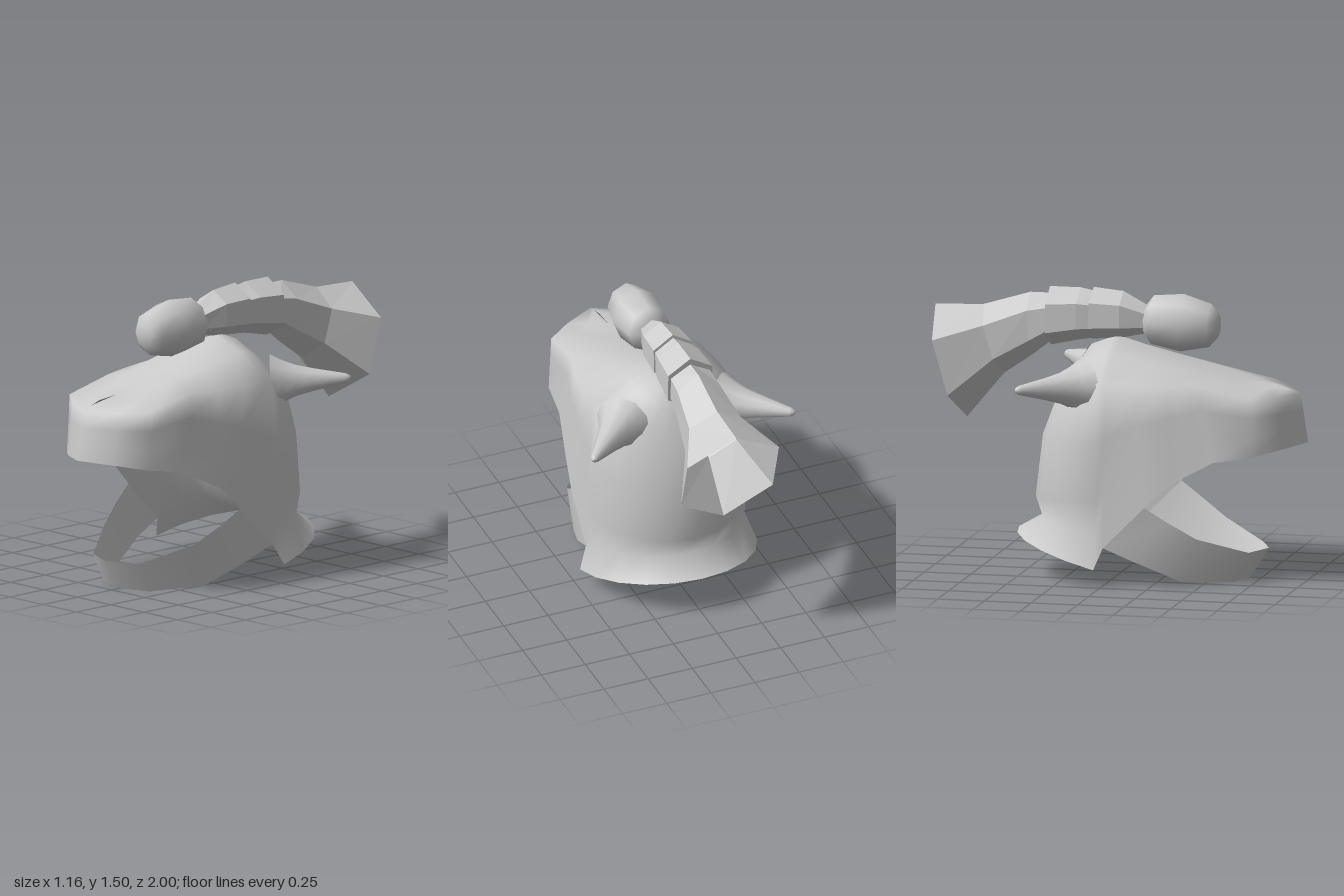
import * as THREE from 'three';
import { mergeVertices } from 'three/addons/utils/BufferGeometryUtils.js';

const { lerp } = THREE.MathUtils;
const smooth = new THREE.MeshStandardMaterial({ color: 0xcccccc, side: THREE.DoubleSide });
const flat = new THREE.MeshStandardMaterial({ color: 0xcccccc, side: THREE.DoubleSide, flatShading: true });

const mirror = (col) => col.map(([x, y, z]) => [-x, y, z]);
const mix = (a, b, t) => a.map((v, i) => lerp(v, b[i], t));

// Skin a list of equally long cross-sections
function skin(sections) {
  const n = sections[0].length;
  const index = [];
  for (let i = 0; i < sections.length - 1; i++) {
    for (let j = 0; j < n - 1; j++) {
      const a = i * n + j, b = a + n;
      index.push(a, a + 1, b, b, a + 1, b + 1);
    }
  }
  const g = new THREE.BufferGeometry();
  g.setAttribute('position', new THREE.Float32BufferAttribute(sections.flat(2), 3));
  g.setIndex(index);
  const merged = mergeVertices(g, 1e-4);
  merged.computeVertexNormals();
  return merged;
}

// Helmet shell: upright strips from crown ridge to rim, front to back
function shellGeometry() {
  // ridge, shoulder and rim point of each strip along snout and cheek
  const front = [
    [[0, 1.03, 0.84], [0, 0.99, 0.96], [0, 0.73, 1.0]],
    [[0, 1.04, 0.72], [0.17, 0.99, 0.87], [0.17, 0.715, 0.9]],
    [[0, 1.05, 0.6], [0.305, 1.0, 0.76], [0.315, 0.69, 0.77]],
    [[0, 1.11, 0.42], [0.315, 1.06, 0.47], [0.34, 0.66, 0.57]],
    [[0, 1.17, 0.23], [0.36, 1.06, 0.32], [0.4, 0.54, 0.34]],
    [[0, 1.22, 0.1], [0.38, 1.06, 0.16], [0.42, 0.42, 0.22]],
    [[0, 1.25, 0], [0.385, 1.06, 0], [0.43, 0.2, 0]],
  ];
  const cols = front.map(([ridge, shoulder, rim], i) => {
    const brow = mix(ridge, shoulder, 0.5);
    brow[1] += 0.005 * i;
    return [ridge, brow, shoulder, mix(shoulder, rim, 0.33), mix(shoulder, rim, 0.67), rim, rim];
  });
  // back rows: half width, height at the side, height at the back, back z
  const rows = [
    [0, 1.25, 1.2, -0.17],
    [0.19, 1.185, 1.12, -0.22],
    [0.385, 1.06, 0.97, -0.32],
    [0.425, 0.75, 0.74, -0.41],
    [0.432, 0.45, 0.41, -0.45],
    [0.425, 0.28, 0.3, -0.41],
    [0.48, 0.09, 0.22, -0.55], // flared neck guard
  ];
  for (const deg of [0, 18, 36, 54, 72, 90]) {
    const c = Math.cos(deg * Math.PI / 180), s = Math.sin(deg * Math.PI / 180);
    cols.push(rows.map(([w, y0, y1, zb]) => [deg === 90 ? 0 : w * c, lerp(y0, y1, s), lerp(-0.04, zb, s)]));
  }
  return skin([...cols, ...cols.slice(0, -1).reverse().map(mirror)]);
}

// Jaw band: upper and lower edge from the chin to the cheek
function jawGeometry() {
  const half = [
    [[0, 0.16, 0.79], [0, 0, 0.69]],
    [[0.17, 0.16, 0.72], [0.17, 0.002, 0.64]],
    [[0.335, 0.25, 0.48], [0.33, 0.02, 0.4]],
    [[0.39, 0.34, 0.34], [0.41, 0.13, 0.16]],
    [[0.42, 0.42, 0.22], [0.43, 0.2, 0]],
  ];
  return skin([...half.slice(1).reverse().map(mirror), ...half]);
}

// Six-sided plume ring, peaked at top and bottom
function plumeRing([topY, topZ, lowY, lowZ, w]) {
  const p = (x, t) => [x, lerp(topY, lowY, t), lerp(topZ, lowZ, t)];
  return [p(0, 0), p(w, 0.25), p(w, 0.74), p(0, 1), p(-w, 0.74), p(-w, 0.25), p(0, 0)];
}

function plumeGeometry(rings, openEnd) {
  const cap = ([ty, tz, ly, lz]) => {
    const y = (ty + ly) / 2, z = (tz + lz) / 2;
    return plumeRing([y, z, y, z, 0]);
  };
  const sections = [cap(rings[0]), ...rings.map(plumeRing)];
  if (!openEnd) sections.push(cap(rings[rings.length - 1]));
  return skin(sections);
}

export function createModel() {
  const model = new THREE.Group();
  const add = (name, geometry, material) => {
    const mesh = new THREE.Mesh(geometry, material);
    mesh.name = name;
    model.add(mesh);
    return mesh;
  };

  add('helmetShell', shellGeometry(), smooth);
  add('jawBand', jawGeometry(), smooth);

  // Tapered ear horns, pointing out and back
  const hornProfile = [[0.15, -0.06], [0.115, 0], [0.085, 0.07], [0.062, 0.16], [0.043, 0.25], [0.025, 0.335], [0.014, 0.355], [0, 0.36]]
    .map(([r, y]) => new THREE.Vector2(r, y));
  for (const side of [1, -1]) {
    const horn = add(side > 0 ? 'leftHorn' : 'rightHorn', new THREE.LatheGeometry(hornProfile, 10), smooth);
    horn.position.set(side * 0.32, 1.025, -0.18);
    horn.quaternion.setFromUnitVectors(new THREE.Vector3(0, 1, 0), new THREE.Vector3(side * 0.7, 0.05, -0.71).normalize());
  }

  // Faceted knob at the front of the plume
  const knobProfile = [[0, -0.2], [0.07, -0.2], [0.13, -0.16], [0.153, 0], [0.115, 0.15], [0.06, 0.195], [0, 0.195]]
    .map(([r, y]) => new THREE.Vector2(r, y));
  const knob = add('plumeKnob', new THREE.LatheGeometry(knobProfile, 8), smooth);
  knob.position.set(0, 1.335, 0.325);
  knob.rotation.x = Math.PI / 2 + 0.06;
  knob.scale.x = 0.92;

  // Plume sections: top y, top z, bottom y, bottom z, half width
  add('plumeFront', plumeGeometry([
    [1.42, 0.14, 1.27, 0.13, 0.06],
    [1.49, 0.01, 1.245, 0.01, 0.1],
    [1.505, -0.15, 1.23, -0.16, 0.11],
  ]), flat);
  add('plumeMiddle', plumeGeometry([
    [1.485, -0.14, 1.235, -0.15, 0.1],
    [1.5, -0.22, 1.225, -0.22, 0.115],
    [1.5, -0.385, 1.19, -0.38, 0.125],
  ]), flat);
  add('plumeTail', plumeGeometry([
    [1.465, -0.37, 1.22, -0.37, 0.11],
    [1.465, -0.49, 1.14, -0.47, 0.115],
    [1.39, -0.74, 1.03, -0.63, 0.145],
    [1.38, -1.0, 0.79, -0.83, 0.26],
  ], true), flat);

  return model;
}
